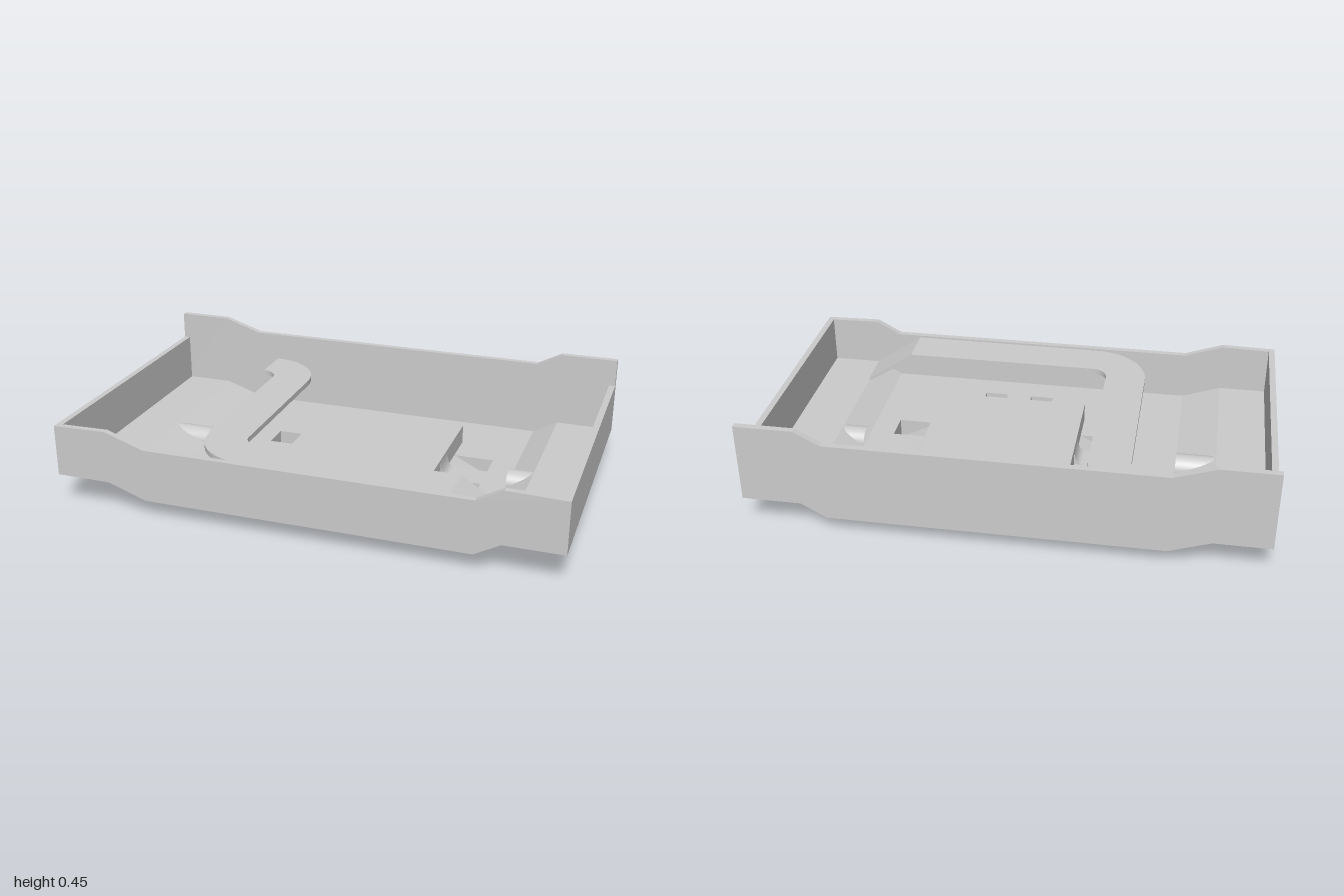
import * as THREE from 'three';

const mat = new THREE.MeshStandardMaterial({ color: 0xcccccc, flatShading: true });
const sheet = new THREE.MeshStandardMaterial({ color: 0xcccccc, flatShading: true, side: THREE.DoubleSide });
const smooth = new THREE.MeshStandardMaterial({ color: 0xcccccc });

const shapeOf = (pts) => new THREE.Shape(pts.map(([x, y]) => new THREE.Vector2(x, y)));

export function createModel() {
  const model = new THREE.Group();
  const add = (name, geometry, material = mat) => {
    const mesh = new THREE.Mesh(geometry, material);
    mesh.name = name;
    model.add(mesh);
    return mesh;
  };
  // outline in x/y, running from z0 to z1
  const alongZ = (name, pts, z0, z1) => {
    const g = new THREE.ExtrudeGeometry(shapeOf(pts), { depth: z1 - z0, bevelEnabled: false });
    add(name, g.translate(0, 0, z0));
  };
  // outline in x/-z, running from y0 to y1
  const upward = (name, shape, y0, y1) => {
    const g = new THREE.ExtrudeGeometry(shape, { depth: y1 - y0, bevelEnabled: false, curveSegments: 16 });
    add(name, g.rotateX(-Math.PI / 2).translate(0, y0, 0));
  };
  const rect = (x0, x1, z0, z1) => [[x0, -z1], [x1, -z1], [x1, -z0], [x0, -z0]];

  const zBack = -0.583, zFront = 0.583, wall = 0.025;
  const zi0 = zBack + wall, zi1 = zFront - wall;
  const low = 0.073, high = 0.128, thick = 0.01;
  const floorTop = low + thick, plateTop = 0.16;

  // front and back walls with raised ends
  const wallOutline = (end, shoulder, middle) => [
    [-1, high], [-0.78, high], [-0.62, low], [0.67, low], [0.77, high], [1, high],
    [1, end], [0.77, shoulder], [0.67, middle], [-0.62, middle], [-0.78, shoulder], [-1, end],
  ];
  alongZ('frontWall', wallOutline(0.335, 0.34, 0.286), zi1, zFront);
  alongZ('backWall', wallOutline(0.447, 0.447, 0.395), zBack, zi0);

  // end walls, raised floor ends, and an open half-round arch through each slope
  const archZ = -0.022, archR = 0.053;
  for (const [side, s, x0, x1, tip] of [['right', -1, -0.62, -0.78, -0.91], ['left', 1, 0.67, 0.77, 0.95]]) {
    const endWall = new THREE.BoxGeometry(wall, 0.335 - high, zi1 - zi0);
    add(side + 'Wall', endWall.translate(s * (1 - wall / 2), (0.335 + high) / 2, 0));
    const end = s * (1 - wall);
    alongZ(side + 'FloorEnd', [
      [x0, low], [x1, high], [end, high], [end, high + thick], [x1, high + thick], [x0, floorTop],
    ], zi0, zi1);
    const arch = new THREE.CylinderGeometry(archR, archR, Math.abs(tip - x0), 24, 1, true, 0, Math.PI);
    add(side + 'Arch', arch.rotateZ(Math.PI / 2).translate((x0 + tip) / 2, floorTop, archZ), smooth);
  }

  // scoops: [axis, inner edge, outer edge, side, side, lowest y]
  const scoops = [];
  for (const [a, b] of [[-0.2, -0.087], [0.035, 0.15]]) {
    scoops.push(['x', 0.405, 0.57, a, b, 0], ['x', -0.213, -0.375, a, b, 0]);
  }
  for (const [a, b] of [[-0.052, 0.045], [0.15, 0.248]]) {
    scoops.push(['z', 0.28, 0.444, a, b, 0.012], ['z', -0.34, -0.495, a, b, 0.012]);
  }

  // middle floor with an opening over every scoop
  const floor = shapeOf(rect(-0.62, 0.67, zi0, zi1));
  for (const [axis, i, o, a, b] of scoops) {
    const lo = Math.min(i, o), hi = Math.max(i, o);
    floor.holes.push(shapeOf(axis === 'x' ? rect(lo, hi, a, b) : rect(a, b, lo, hi)));
  }
  upward('floor', floor, low, floorTop);

  // each scoop is a ramp, an outer end and two triangular cheeks
  for (const [axis, i, o, a, b, y] of scoops) {
    const p = (u, h, v) => (axis === 'x' ? [u, h, v] : [v, h, u]);
    const A = p(i, floorTop, a), B = p(i, floorTop, b), C = p(o, y, a), D = p(o, y, b);
    const E = p(o, floorTop, a), F = p(o, floorTop, b);
    const tris = [A, B, D, A, D, C, C, D, F, C, F, E, A, C, E, B, F, D];
    const g = new THREE.BufferGeometry();
    g.setAttribute('position', new THREE.Float32BufferAttribute(tris.flat(), 3));
    g.computeVertexNormals();
    add('scoop', g, sheet);
  }

  // raised central plate
  upward('centrePlate', shapeOf(rect(-0.213, 0.405, -0.34, 0.28)), floorTop, plateTop);

  // hollow-curved fillets at the middle of each plate side: [x, z, turn, reach]
  const rise = plateTop - floorTop, width = 0.105;
  for (const [x, z, turn, reach] of [
    [0.405, archZ, 0, 0.045], [-0.213, archZ, Math.PI, 0.04],
    [0.0975, 0.28, -Math.PI / 2, 0.04], [0.0975, -0.34, Math.PI / 2, 0.015],
  ]) {
    const s = new THREE.Shape();
    s.moveTo(0, 0);
    s.lineTo(reach, 0);
    s.quadraticCurveTo(0, 0, 0, rise);
    const g = new THREE.ExtrudeGeometry(s, { depth: width, bevelEnabled: false, curveSegments: 10 });
    const fillet = add('plateFillet', g.translate(0, 0, -width / 2));
    fillet.rotation.y = turn;
    fillet.position.set(x, floorTop, z);
  }

  // raised curved strip
  const strip = new THREE.Shape();
  strip.moveTo(-0.535, 0.56);
  strip.absarc(-0.53, 0.325, 0.235, Math.PI / 2, 0, true);
  strip.absarc(-0.23, -0.318, 0.065, Math.PI, Math.PI * 1.5, false);
  strip.lineTo(0.572, -0.383);
  strip.lineTo(0.572, -0.553);
  strip.absarc(-0.23, -0.323, 0.23, Math.PI * 1.5, Math.PI, true);
  strip.absarc(-0.53, 0.325, 0.07, 0, Math.PI / 2, false);
  upward('curvedStrip', strip, 0.258, 0.28);

  // sloping end of the strip, down to the floor
  alongZ('stripRamp', [[0.572, 0.258], [0.772, 0.13], [0.772, 0.145], [0.572, 0.28]], 0.383, 0.553);

  return model;
}
